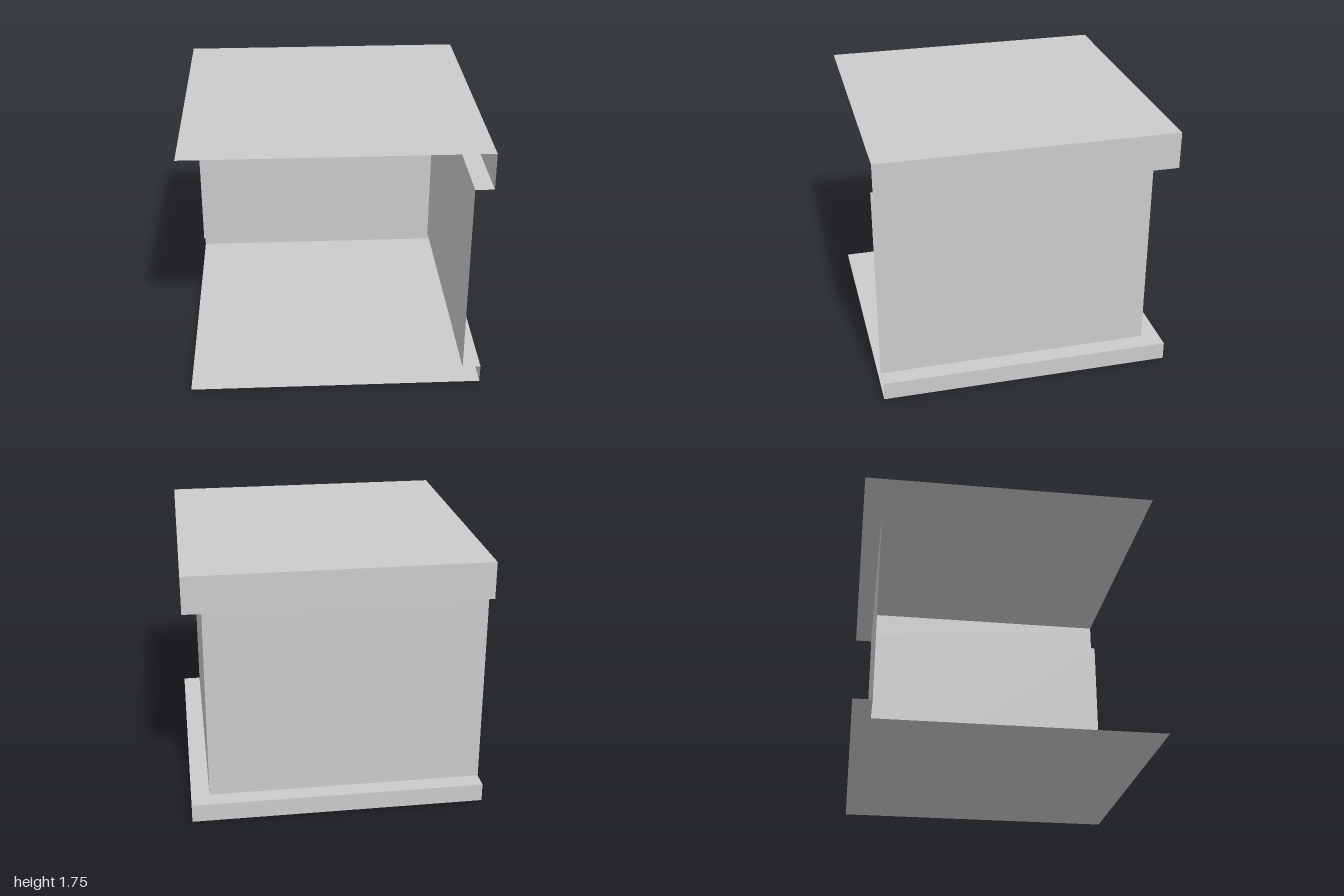
import * as THREE from 'three';

const material = new THREE.MeshStandardMaterial({
  color: 0xcccccc, flatShading: true, side: THREE.DoubleSide,
});

// Mesh made of four-cornered faces, corners counter-clockwise from outside
function faces(name, quads) {
  const points = quads.flatMap(([a, b, c, d]) => [a, b, c, a, c, d]).flat();
  const geometry = new THREE.BufferGeometry();
  geometry.setAttribute('position', new THREE.Float32BufferAttribute(points, 3));
  geometry.computeVertexNormals();
  const mesh = new THREE.Mesh(geometry, material);
  mesh.name = name;
  return mesh;
}

// Open profile [distance out, height] swept round the back right corner with a mitre
function cornerSweep(name, profile) {
  const path = ([out, y]) => [[-1, y, -out], [out, y, -out], [out, y, 1]];
  const quads = [];
  for (let i = 0; i < profile.length - 1; i++) {
    const low = path(profile[i]);
    const high = path(profile[i + 1]);
    for (let j = 0; j < 2; j++) quads.push([low[j], high[j], high[j + 1], low[j + 1]]);
  }
  return faces(name, quads);
}

export function createModel() {
  const group = new THREE.Group();
  group.name = 'cornerBlock';
  const edge = 1, wall = 0.875;
  const plinthTop = 0.125, capBottom = 1.5, top = 1.75;

  // Plinth, recessed wall and overhanging cap; front and left sides stay open
  group.add(
    cornerSweep('plinth', [[edge, 0], [edge, plinthTop], [wall, plinthTop]]),
    cornerSweep('wall', [[wall, plinthTop], [wall, capBottom]]),
    cornerSweep('cap', [[wall, capBottom], [edge, capBottom], [edge, top]]),
  );

  // Square sheets closing the bottom and the top
  const square = (y) => [[-1, y, 1], [1, y, 1], [1, y, -1], [-1, y, -1]];
  group.add(
    faces('floor', [square(0).reverse()]),
    faces('roof', [square(top)]),
  );
  return group;
}
